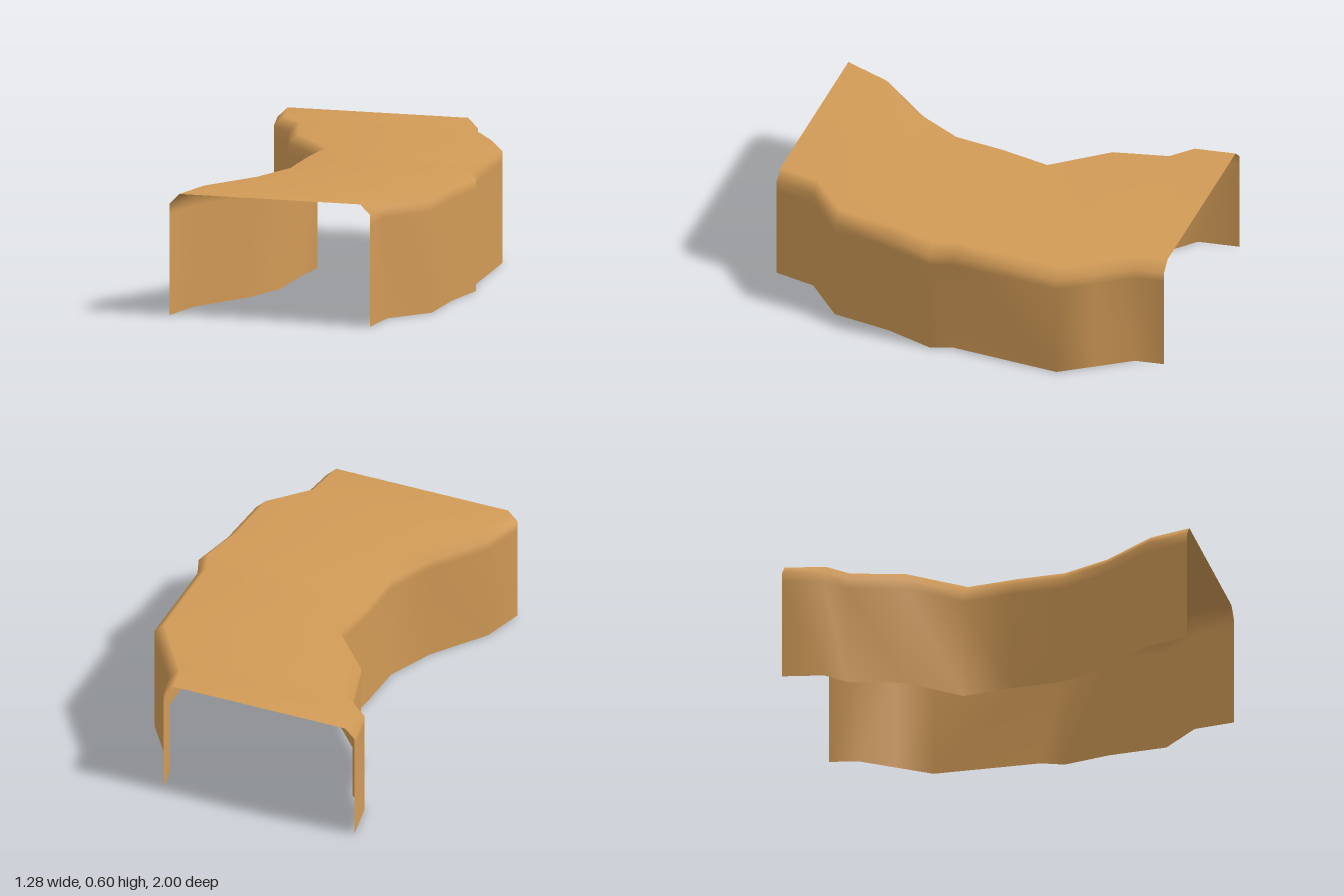
import * as THREE from 'three';

// Each station along the tunnel: left wall x, z and right wall x, z
const STATIONS = [
  [-0.645, -1, 0.355, -1],
  [-0.61, -0.8, 0.38, -0.86],
  [-0.51, -0.71, 0.49, -0.7],
  [-0.44, -0.44, 0.6, -0.54],
  [-0.23, -0.2, 0.6, -0.01],
  [-0.265, 0.05, 0.64, 0.1],
  [-0.28, 0.3, 0.585, 0.33],
  [-0.385, 0.53, 0.56, 0.62],
  [-0.58, 0.79, 0.385, 0.8],
  [-0.645, 1, 0.355, 1],
];

// Wall profile from the ground to the roof: [inset, height]
const WALL = [[0, 0], [0, 0.5], [0, 0.55], [0.05, 0.6]];

// Skin one open arch section per station into a smooth shell
function tunnelGeometry() {
  const positions = [];
  for (const [lx, lz, rx, rz] of STATIONS) {
    const left = new THREE.Vector3(lx, 0, lz);
    const right = new THREE.Vector3(rx, 0, rz);
    const across = right.clone().sub(left).normalize();
    for (const [inset, y] of WALL) {
      const p = left.clone().addScaledVector(across, inset);
      positions.push(p.x, y, p.z);
    }
    for (const [inset, y] of [...WALL].reverse()) {
      const p = right.clone().addScaledVector(across, -inset);
      positions.push(p.x, y, p.z);
    }
  }
  const n = WALL.length * 2;
  const index = [];
  for (let i = 0; i < STATIONS.length - 1; i++) {
    for (let j = 0; j < n - 1; j++) {
      const a = i * n + j, b = a + 1, c = a + n, d = c + 1;
      index.push(a, c, b, b, c, d);
    }
  }
  const geometry = new THREE.BufferGeometry();
  geometry.setAttribute('position', new THREE.Float32BufferAttribute(positions, 3));
  geometry.setIndex(index);
  geometry.computeVertexNormals();
  return geometry;
}

export function createModel() {
  const group = new THREE.Group();
  group.name = 'windingTunnel';
  const tan = new THREE.MeshStandardMaterial({ color: 0xd29b57, side: THREE.DoubleSide });
  tan.name = 'tan';

  // Open-ended, bottomless shell: two walls, bevels and flat roof
  const shell = new THREE.Mesh(tunnelGeometry(), tan);
  shell.name = 'tunnelShell';
  group.add(shell);
  return group;
}
